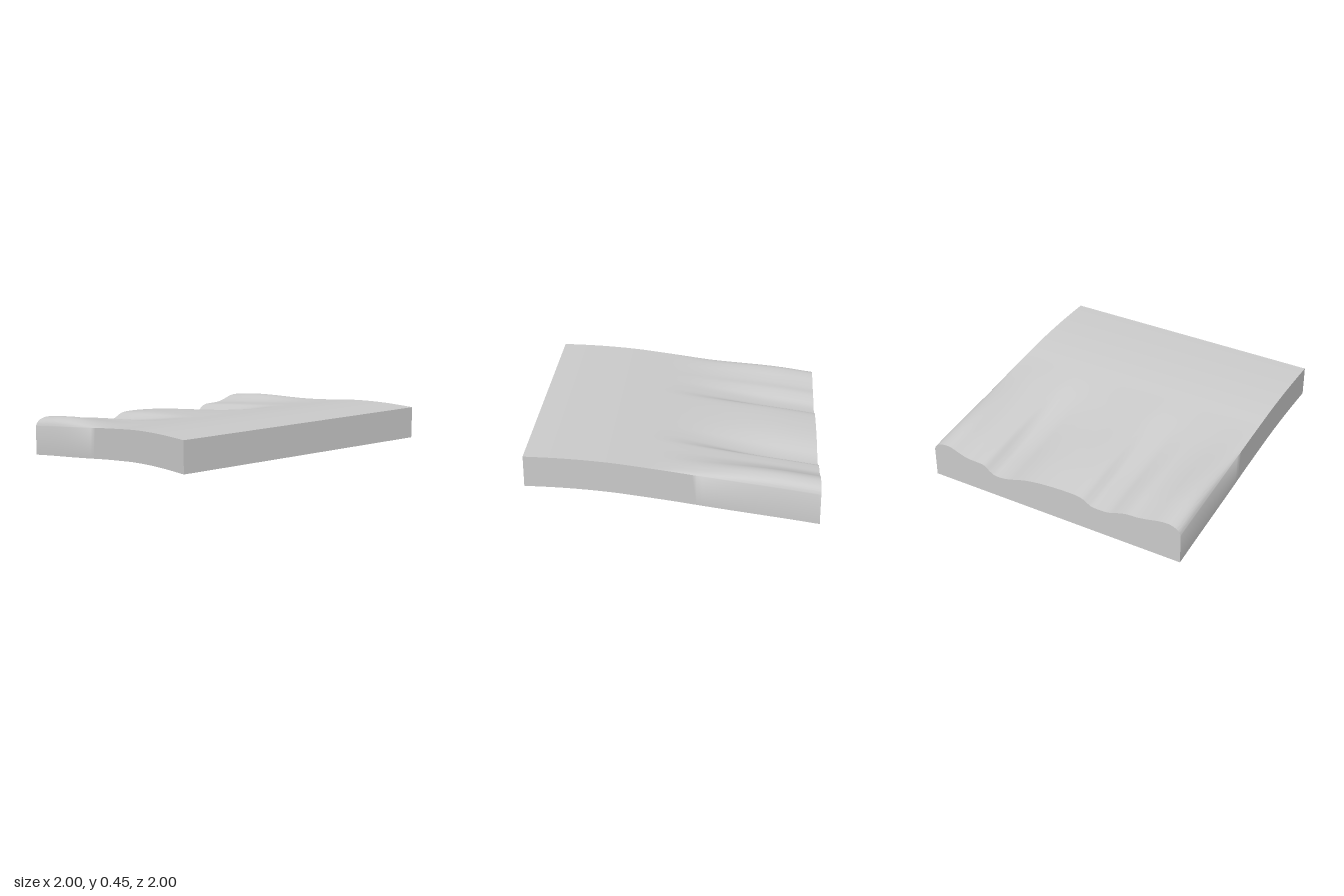
import * as THREE from 'three';
import { toCreasedNormals } from 'three/addons/utils/BufferGeometryUtils.js';

const THICK = 0.222;
const STEPS_X = 60;

// underside height along x
const baseCurve = new THREE.SplineCurve([
  [-1, 0], [-0.8, 0.03], [-0.6, 0.058], [-0.4, 0.086], [-0.2, 0.115], [0, 0.145],
  [0.2, 0.172], [0.4, 0.197], [0.6, 0.214], [0.8, 0.224], [1, 0.228],
].map(([x, y]) => new THREE.Vector2(x, y)));

// slab thickness across z at the rippled end
const ripple = new THREE.CatmullRomCurve3([
  [-1, 0.222], [-0.9875, 0.247], [-0.968, 0.265], [-0.935, 0.278], [-0.89, 0.284], [-0.84, 0.277],
  [-0.78, 0.255], [-0.71, 0.236], [-0.63, 0.232], [-0.57, 0.225], [-0.52, 0.19],
  [-0.48, 0.17], [-0.43, 0.169], [-0.36, 0.18], [-0.28, 0.205], [-0.2, 0.225],
  [-0.1, 0.24], [0, 0.248], [0.1, 0.252], [0.2, 0.25], [0.245, 0.24], [0.28, 0.22],
  [0.315, 0.202], [0.37, 0.197], [0.45, 0.202], [0.52, 0.225], [0.59, 0.243],
  [0.67, 0.248], [0.76, 0.264], [0.83, 0.28], [0.9, 0.287], [0.94, 0.28],
  [0.97, 0.266], [0.9875, 0.248], [1, 0.222],
].map(([z, h]) => new THREE.Vector3(0, h, z))).getPoints(34 * 4);

function slabGeometry() {
  const pos = [], index = [];
  const n = ripple.length;
  const quad = (a, b, c, d) => index.push(a, b, c, a, c, d);
  const top = (i, j) => 2 * (i * n + j);
  const bottom = (i, j) => top(i, j) + 1;

  // cross-sections: the ripples fade out towards the plain end
  for (let i = 0; i <= STEPS_X; i++) {
    const { x, y } = baseCurve.getPoint(i / STEPS_X);
    const fade = 1 - THREE.MathUtils.smoothstep(x, -0.8, 0.2);
    for (const p of ripple) {
      pos.push(x, y + THICK + (p.y - THICK) * fade, p.z, x, y, p.z);
    }
  }
  // top and underside
  for (let i = 0; i < STEPS_X; i++) {
    for (let j = 0; j < n - 1; j++) {
      quad(top(i, j), top(i, j + 1), top(i + 1, j + 1), top(i + 1, j));
      quad(bottom(i, j), bottom(i + 1, j), bottom(i + 1, j + 1), bottom(i, j + 1));
    }
    // back and front sides
    quad(bottom(i, 0), top(i, 0), top(i + 1, 0), bottom(i + 1, 0));
    quad(bottom(i, n - 1), bottom(i + 1, n - 1), top(i + 1, n - 1), top(i, n - 1));
  }
  // rippled end and plain end
  const e = STEPS_X;
  for (let j = 0; j < n - 1; j++) {
    quad(bottom(0, j), bottom(0, j + 1), top(0, j + 1), top(0, j));
    quad(bottom(e, j), top(e, j), top(e, j + 1), bottom(e, j + 1));
  }
  const geo = new THREE.BufferGeometry();
  geo.setAttribute('position', new THREE.Float32BufferAttribute(pos, 3));
  geo.setIndex(index);
  return toCreasedNormals(geo, Math.PI / 3);
}

export function createModel() {
  const group = new THREE.Group();
  group.name = 'rippledSlab';
  const grey = new THREE.MeshStandardMaterial({ color: 0xcccccc });
  grey.name = 'light grey';
  const slab = new THREE.Mesh(slabGeometry(), grey);
  slab.name = 'slab';
  group.add(slab);
  return group;
}
